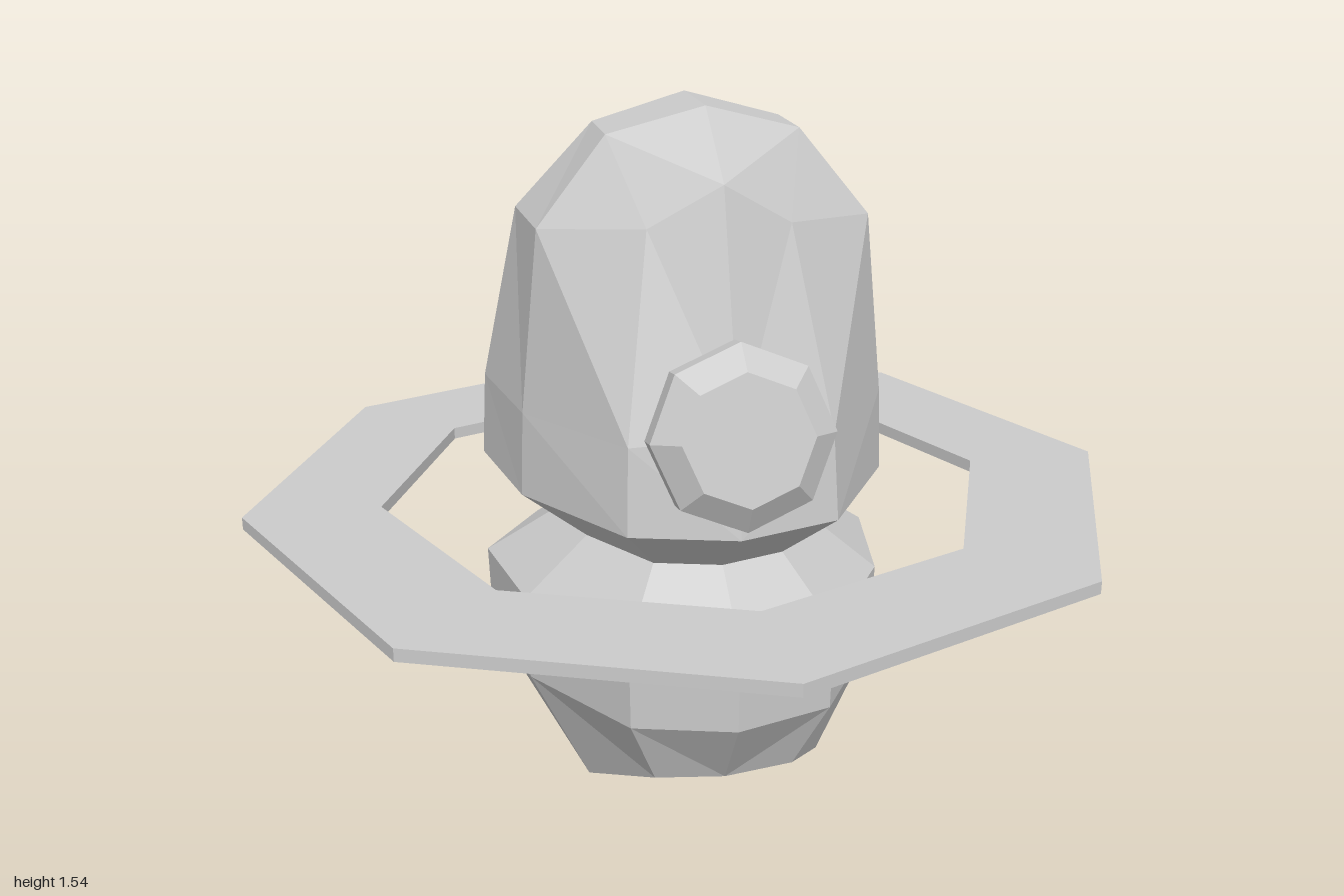
import * as THREE from 'three';

const material = new THREE.MeshStandardMaterial({ color: 0xcccccc, flatShading: true });

// Half outline of the body as [x, z], from the front centre round the left to the back centre
const OUTLINE = [[0, 0.535], [0.222, 0.47], [0.402, 0.19], [0.455, -0.1], [0.31, -0.31], [0, -0.37]];
const MID_Z = 0.085;

function level(y, scale) {
  return OUTLINE.map(([x, z]) => [x * scale, y, MID_Z + (z - MID_Z) * scale]);
}

// Builds a mesh from right-handed half faces, mirrored across x
function mirroredMesh(name, faces) {
  const pos = [];
  const tri = (a, b, c) => {
    pos.push(...a, ...b, ...c);
    for (const p of [a, c, b]) pos.push(-p[0], p[1], p[2]);
  };
  for (const f of faces) {
    for (let i = 1; i < f.length - 1; i++) tri(f[0], f[i], f[i + 1]);
  }
  const geo = new THREE.BufferGeometry();
  geo.setAttribute('position', new THREE.Float32BufferAttribute(pos, 3));
  geo.computeVertexNormals();
  const mesh = new THREE.Mesh(geo, material);
  mesh.name = name;
  return mesh;
}

// Joins stacked half loops with quads
function bands(loops) {
  const faces = [];
  for (let j = 0; j < loops.length - 1; j++) {
    const lo = loops[j], hi = loops[j + 1];
    for (let i = 0; i < lo.length - 1; i++) faces.push([lo[i], lo[i + 1], hi[i + 1], hi[i]]);
  }
  return faces;
}

function createLowerBody() {
  const r = [[0, 0.105, 0.41], [0.155, 0.115, 0.4], [0.27, 0.025, 0.2],
    [0.27, 0.025, -0.02], [0.17, 0.1, -0.2], [0, 0.1, -0.2]];
  const a = [0, 0, 0.19], b = [0, 0, -0.02];
  const cap = [[r[0], r[1], r[2], a], [a, r[2], r[3], b], [b, r[3], r[4], r[5]]];
  return mirroredMesh('lowerBody', [
    ...cap.map((f) => f.reverse()),
    ...bands([r, level(0.28, 0.985), level(0.475, 1), level(0.597, 0.64)]),
  ]);
}

function createUpperBody() {
  const chest = [[0, 0.93, 0.5], [0.215, 0.905, 0.45], [0.395, 0.905, 0.19],
    [0.445, 0.905, -0.1], [0.3, 0.91, -0.3], [0, 0.93, -0.355]];
  const r = [[0, 1.41, 0.36], [0.15, 1.32, 0.325], [0.355, 1.3, 0.19],
    [0.37, 1.3, -0.04], [0.2, 1.34, -0.14], [0, 1.41, -0.16]];
  const a = [0, 1.54, 0.19], b = [0, 1.54, -0.02];
  const c = [0.205, 1.485, 0.17], d = [0.205, 1.485, 0];
  return mirroredMesh('upperBody', [
    ...bands([level(0.597, 0.64), level(0.72, 1), chest, r]),
    [r[0], r[1], c, a], [a, c, d, b], [b, d, r[4], r[5]],
    [r[1], r[2], c], [r[2], r[3], d, c], [r[3], r[4], d],
  ]);
}

// Faceted round nose, tipped slightly upward
function createNose() {
  const profile = [[0, -0.08], [0.15, -0.08], [0.19, -0.035], [0.19, 0.02], [0.135, 0.065], [0, 0.065]]
    .map(([r, h]) => new THREE.Vector2(r, h));
  const geo = new THREE.LatheGeometry(profile, 8);
  geo.rotateX(Math.PI / 2 - 0.2);
  const nose = new THREE.Mesh(geo, material);
  nose.name = 'nose';
  nose.position.set(0, 0.942, 0.53);
  return nose;
}

// Flat eight-sided ring around the waist
function createRing() {
  const octagon = (radius) => Array.from({ length: 8 }, (_, i) => new THREE.Vector2(
    radius * Math.cos(i * Math.PI / 4), radius * Math.sin(i * Math.PI / 4)));
  const shape = new THREE.Shape(octagon(1));
  shape.holes.push(new THREE.Path(octagon(0.697)));
  const geo = new THREE.ExtrudeGeometry(shape, { depth: 0.028, bevelEnabled: false });
  geo.rotateX(-Math.PI / 2);
  const ring = new THREE.Mesh(geo, material);
  ring.name = 'waistRing';
  ring.position.y = 0.613;
  return ring;
}

export function createModel() {
  const model = new THREE.Group();
  model.name = 'ringedFigure';
  model.add(createLowerBody(), createUpperBody(), createNose(), createRing());
  return model;
}
